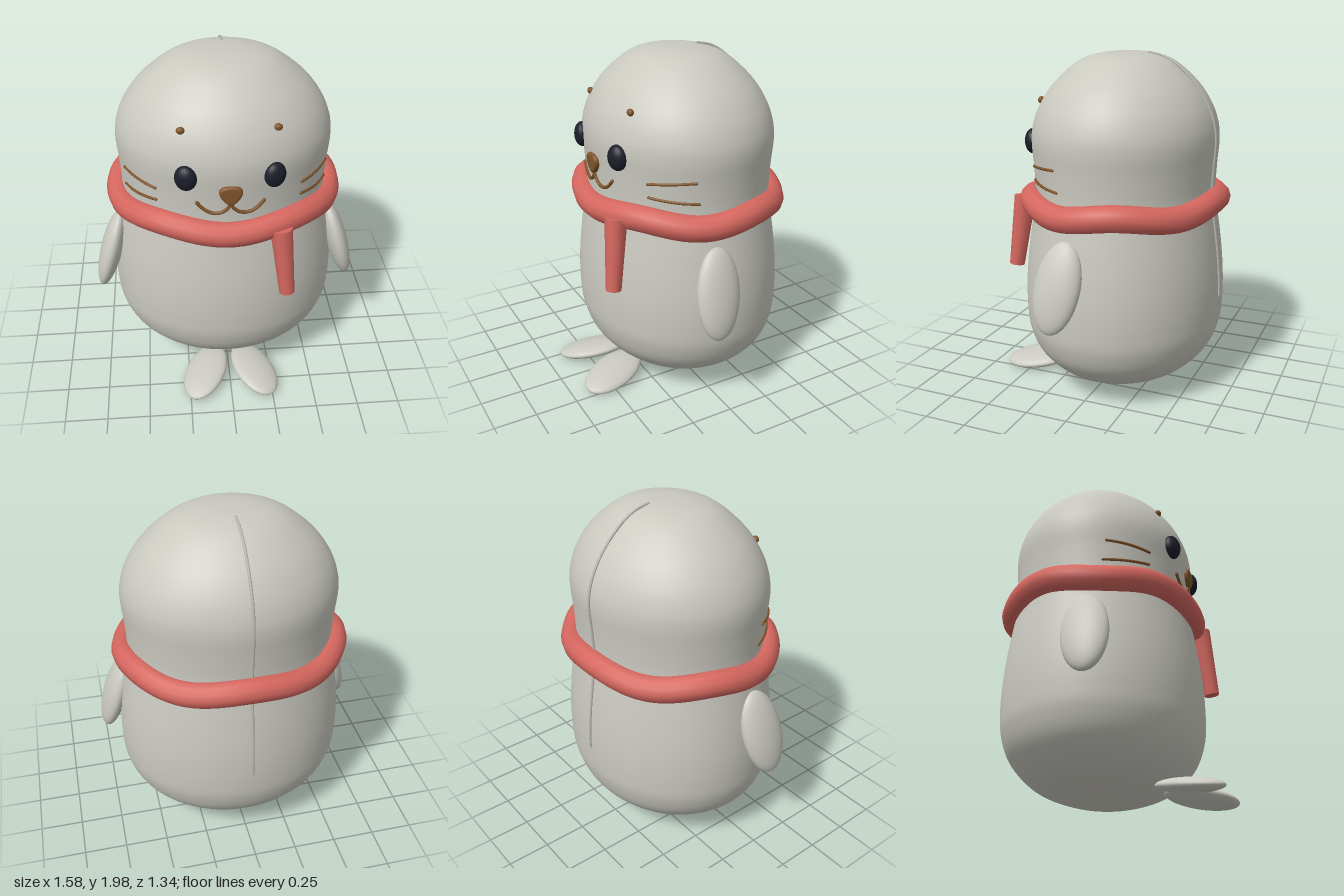
import * as THREE from 'three';

const V = (x, y, z) => new THREE.Vector3(x, y, z);
const mat = (name, color) => {
  const m = new THREE.MeshStandardMaterial({ color });
  m.name = name;
  return m;
};

const DEPTH = 0.865; // body depth relative to its width
const CENTRE_Z = -0.06;

// Body outline: radius and height, from the base to the crown
const outline = new THREE.SplineCurve([
  [0, 0.03], [0.15, 0.037], [0.3, 0.065], [0.466, 0.13], [0.6, 0.25], [0.66, 0.38], [0.675, 0.5],
  [0.675, 0.65], [0.662, 0.8], [0.64, 0.95], [0.618, 1.08], [0.603, 1.2], [0.609, 1.35], [0.62, 1.49],
  [0.607, 1.59], [0.56, 1.7], [0.466, 1.82], [0.307, 1.94], [0.15, 1.983], [0, 1.99],
].map(([r, y]) => new THREE.Vector2(r, y))).getPoints(95);
outline[0].x = outline[outline.length - 1].x = 0;

function radiusAt(y) {
  const i = Math.max(1, outline.findIndex((p) => p.y >= y));
  const a = outline[i - 1], b = outline[i];
  return THREE.MathUtils.mapLinear(y, a.y, b.y, a.x, b.x);
}

// Point on the front of the body, lifted by an offset
function onFace(x, y, lift = 0) {
  const r = radiusAt(y);
  return V(x, y, CENTRE_Z + DEPTH * Math.sqrt(Math.max(0, r * r - x * x)) + lift);
}

export function createModel() {
  const model = new THREE.Group();
  model.name = 'sealPlush';
  const fur = mat('paleGreyFur', 0xcac9c0);
  const red = mat('coralScarf', 0xd5675f);
  const brown = mat('brown', 0x80552a);
  const dark = mat('darkEye', 0x1c1e2a);
  const thread = mat('greyThread', 0xbab8b0);

  const add = (name, geometry, material) => {
    const mesh = new THREE.Mesh(geometry, material);
    mesh.name = name;
    model.add(mesh);
    return mesh;
  };
  const ellipsoid = (name, material, position, radii) => {
    const mesh = add(name, new THREE.SphereGeometry(1, 32, 20), material);
    mesh.position.copy(position);
    mesh.scale.set(...radii);
    return mesh;
  };
  // Thin rod with rounded ends
  const cord = (name, material, points, radius) => {
    const curve = new THREE.CatmullRomCurve3(points);
    add(name, new THREE.TubeGeometry(curve, points.length * 4, radius, 8), material);
    for (const p of [points[0], points[points.length - 1]]) {
      ellipsoid(name + 'End', material, p, [radius, radius, radius]);
    }
  };

  // Body and head in one turned shape
  const body = add('body', new THREE.LatheGeometry(outline, 72), fur);
  body.scale.z = DEPTH;
  body.position.z = CENTRE_Z;

  // Stitched seam over the crown and down the back
  const seam = outline.filter((p, i) => p.y > 0.55 && (p.y < 1.5 || p.x > 0.11) && i % 3 === 0)
    .map((p) => V(0, p.y + (p.y > 1.8 ? 0.003 : 0), CENTRE_Z - DEPTH * p.x - 0.003));
  cord('backSeam', thread, seam, 0.008);

  // Wavy scarf ring
  const ring = [];
  for (let i = 0; i < 60; i++) {
    const a = (i / 60) * Math.PI * 2;
    ring.push(V(0.62 * Math.sin(a), 1.145 - 0.016 * Math.cos(5 * a), CENTRE_Z + 0.537 * Math.cos(a)));
  }
  add('scarf', new THREE.TubeGeometry(new THREE.CatmullRomCurve3(ring, true), 120, 0.075, 12, true), red);

  // Hanging scarf end
  const top = V(0.278, 1.15, 0.475), bottom = V(0.32, 0.735, 0.522);
  const tail = add('scarfTail', new THREE.CylinderGeometry(0.064, 0.045, top.distanceTo(bottom), 10), red);
  tail.position.copy(top).add(bottom).multiplyScalar(0.5);
  tail.quaternion.setFromUnitVectors(V(0, 1, 0), top.clone().sub(bottom).normalize());

  for (const [side, s] of [['left', 1], ['right', -1]]) {
    // Limbs
    const flipper = ellipsoid(side + 'Flipper', fur, V(s * 0.692, 0.768, 0.067), [0.066, 0.26, 0.134]);
    flipper.rotation.set(-0.12, 0, s * 0.28);
    const foot = ellipsoid(side + 'Foot', fur, V(s * 0.152, 0.066, 0.465), [0.125, 0.043, 0.212]);
    foot.rotation.set(0.14, s * 0.38, s * -0.14, 'YXZ');

    // Eyes and brow spots
    const eye = ellipsoid(side + 'Eye', dark, onFace(s * 0.237, 1.476, 0.002), [0.062, 0.073, 0.045]);
    eye.rotation.y = s * 0.34;
    ellipsoid(side + 'BrowSpot', brown, onFace(s * 0.255, 1.72, 0.005), [0.023, 0.02, 0.018]);

    // Mouth and whiskers follow the face
    const smile = [[0, 1.325], [0.018, 1.292], [0.055, 1.266], [0.1, 1.263], [0.145, 1.285], [0.182, 1.325]];
    cord(side + 'Mouth', brown, smile.map(([x, y]) => onFace(s * x, y, 0.005)), 0.01);
    for (const [name, y0, y1] of [['UpperWhisker', 1.363, 1.385], ['LowerWhisker', 1.285, 1.263]]) {
      const points = [0, 0.25, 0.5, 0.75, 1].map((t) => onFace(s * (0.4 + 0.168 * t), y0 + (y1 - y0) * t, 0.005));
      cord(side + name, brown, points, 0.008);
    }
  }

  // Rounded triangular nose
  const shape = new THREE.Shape();
  shape.moveTo(0, -0.045);
  shape.quadraticCurveTo(0.018, -0.042, 0.04, -0.01);
  shape.quadraticCurveTo(0.062, 0.03, 0.03, 0.04);
  shape.quadraticCurveTo(0, 0.045, -0.03, 0.04);
  shape.quadraticCurveTo(-0.062, 0.03, -0.04, -0.01);
  shape.quadraticCurveTo(-0.018, -0.042, 0, -0.045);
  const nose = add('nose', new THREE.ExtrudeGeometry(shape, {
    depth: 0.02, bevelThickness: 0.016, bevelSize: 0.014, bevelSegments: 5, curveSegments: 8,
  }), brown);
  nose.position.set(0, 1.38, 0.457);

  return model;
}
